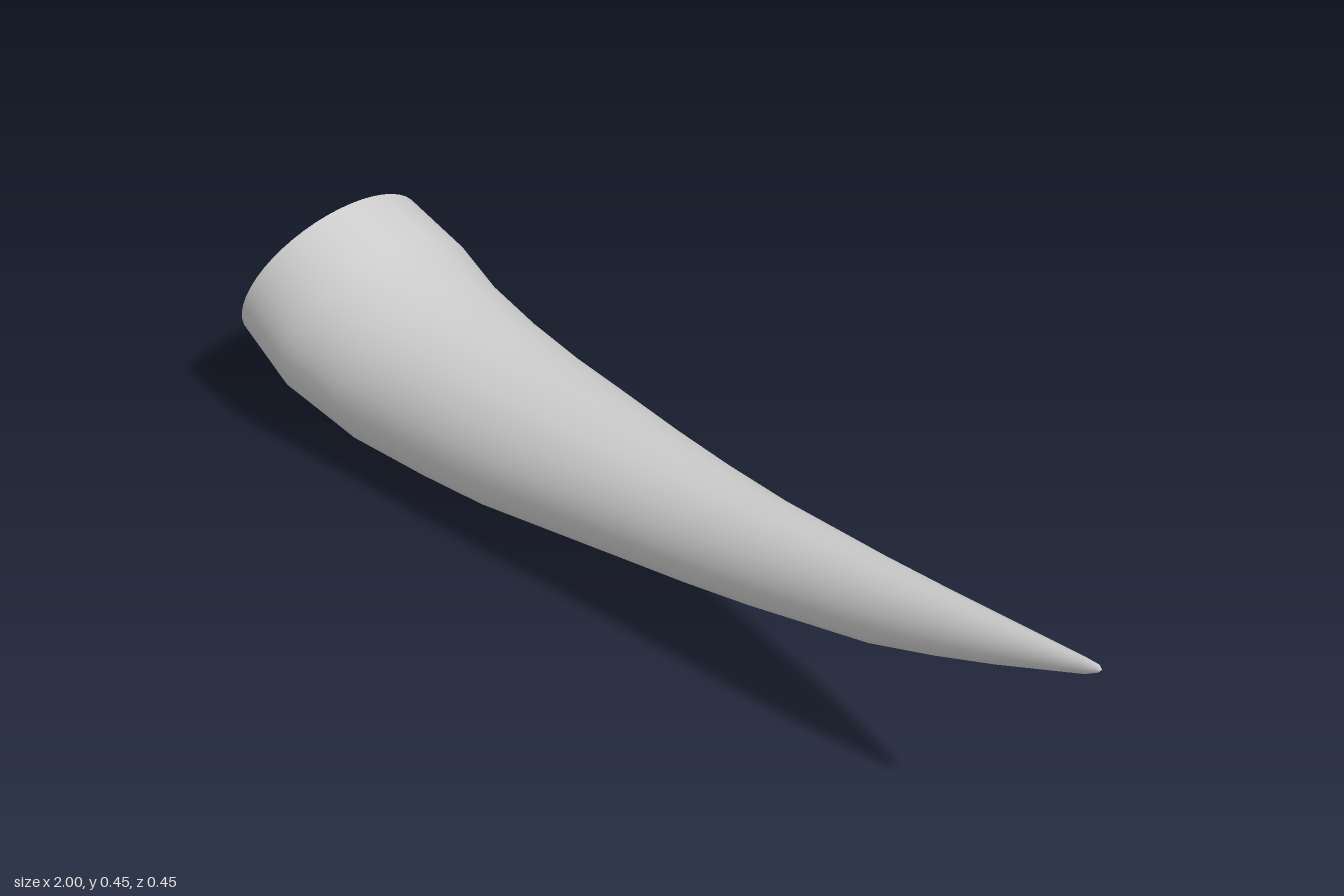
import * as THREE from 'three';

const SEGMENTS = 48;

// Cross-sections along the horn: [topX, topY, bottomX, bottomY, halfWidthZ]
const SECTIONS = [
  [-0.83, 0.453, -1.0, 0.098, 0.21],
  [-0.70, 0.408, -0.85, 0.04, 0.224],
  [-0.60, 0.378, -0.66, 0.004, 0.203],
  [-0.46, 0.36, -0.48, 0.013, 0.181],
  [-0.33, 0.348, -0.31, 0.035, 0.166],
  [-0.20, 0.346, -0.18, 0.063, 0.151],
  [-0.02, 0.346, 0.03, 0.105, 0.125],
  [0.13, 0.349, 0.18, 0.136, 0.107],
  [0.28, 0.357, 0.33, 0.172, 0.09],
  [0.53, 0.384, 0.58, 0.243, 0.065],
  [0.67, 0.402, 0.71, 0.297, 0.05],
  [0.80, 0.422, 0.82, 0.347, 0.034],
  [0.965, 0.448, 0.975, 0.424, 0.011],
  [0.99, 0.451, 0.995, 0.439, 0.006],
];

// Point on a section: scaled toward its centre, pushed along the section's axis
function sectionPoint([tx, ty, bx, by, rz], i, scale = 1, push = 0) {
  const a = (i / SEGMENTS) * Math.PI * 2;
  const hx = (tx - bx) / 2, hy = (ty - by) / 2, h = Math.hypot(hx, hy);
  const c = Math.cos(a) * scale;
  return [
    (tx + bx) / 2 + hx * c + (hy / h) * push,
    (ty + by) / 2 + hy * c - (hx / h) * push,
    rz * Math.sin(a) * scale,
  ];
}

// Join rings of points into a surface and close it with one end point
function loft(rings, endPoint) {
  const positions = [], index = [];
  for (const ring of rings) for (const p of ring) positions.push(...p);
  positions.push(...endPoint);
  const end = rings.length * SEGMENTS;
  for (let i = 0; i < SEGMENTS; i++) {
    const j = (i + 1) % SEGMENTS;
    for (let r = 0; r < rings.length - 1; r++) {
      const a = r * SEGMENTS, b = a + SEGMENTS;
      index.push(a + i, a + j, b + i, a + j, b + j, b + i);
    }
    const last = end - SEGMENTS;
    index.push(last + i, last + j, end);
  }
  const geometry = new THREE.BufferGeometry();
  geometry.setAttribute('position', new THREE.Float32BufferAttribute(positions, 3));
  geometry.setIndex(index);
  geometry.computeVertexNormals();
  return geometry;
}

const makeRing = (section, scale, pushAt = () => 0) =>
  Array.from({ length: SEGMENTS }, (_, i) => sectionPoint(section, i, scale, pushAt(i)));

export function createModel() {
  const group = new THREE.Group();
  group.name = 'horn';

  // Curved, tapering body with a small rounded tip
  const body = new THREE.Mesh(
    loft(SECTIONS.map((s) => makeRing(s, 1)), [1, 0.447, 0]),
    new THREE.MeshStandardMaterial({ color: 0xcccccc }),
  );
  body.name = 'hornBody';
  group.add(body);

  // Broad end, fluted with ridges radiating from its centre
  const base = SECTIONS[0];
  const flute = (i) => (i % 2 ? 0.022 : 0.002);
  const capGeometry = loft(
    [makeRing(base, 1), makeRing(base, 0.86, flute)],
    sectionPoint(base, 0, 0, 0.008),
  );
  // Reverse each triangle so the cap faces away from the body
  const order = capGeometry.index.array;
  for (let k = 0; k < order.length; k += 3) {
    [order[k + 1], order[k + 2]] = [order[k + 2], order[k + 1]];
  }
  capGeometry.computeVertexNormals();
  const cap = new THREE.Mesh(
    capGeometry,
    new THREE.MeshStandardMaterial({ color: 0xcccccc, flatShading: true }),
  );
  cap.name = 'flutedBase';
  group.add(cap);

  return group;
}
